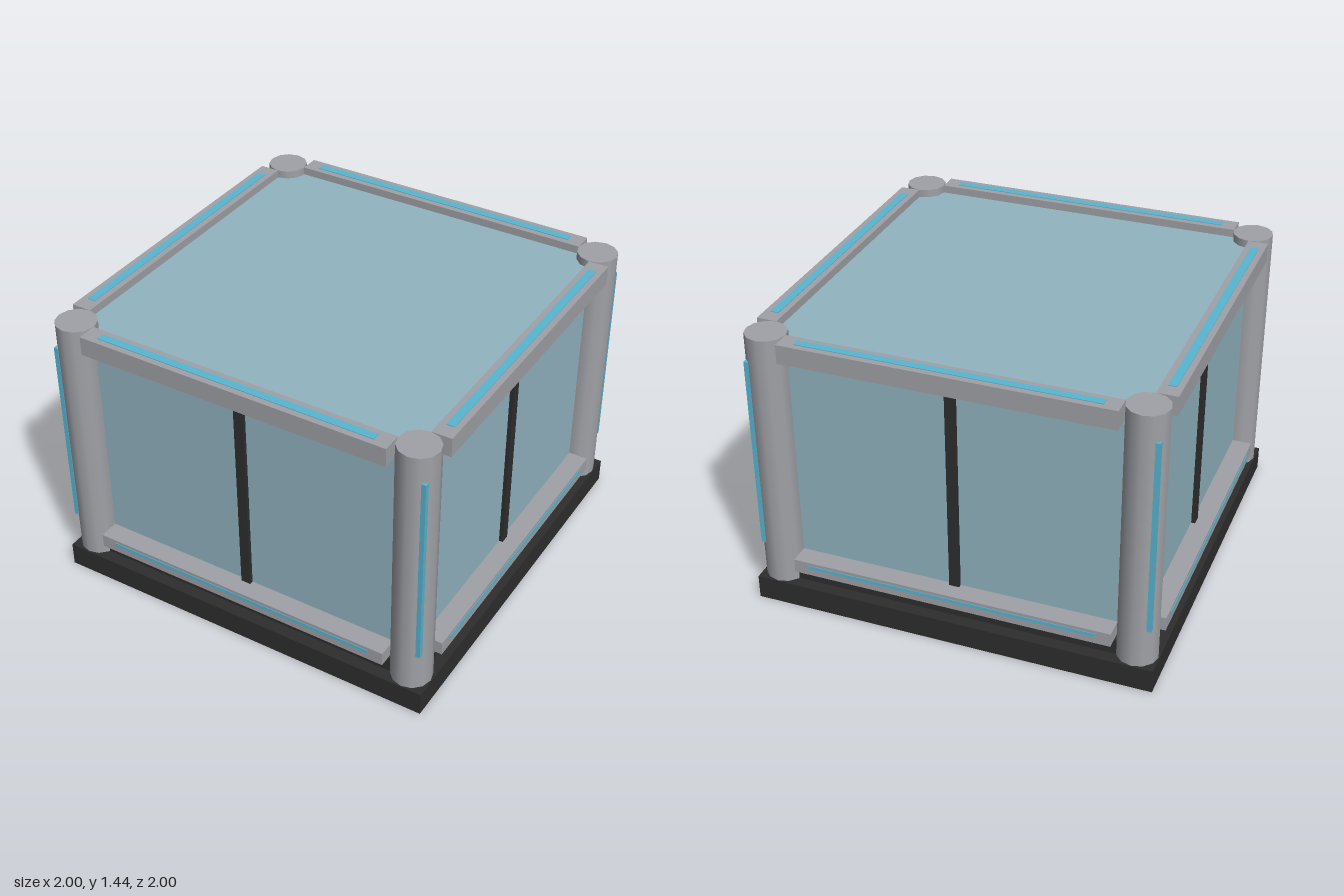
import * as THREE from 'three';

const mat = (name, color) => {
  const m = new THREE.MeshStandardMaterial({ color });
  m.name = name;
  return m;
};

export function createModel() {
  const model = new THREE.Group();
  model.name = 'glassPavilion';
  const dark = mat('charcoal', 0x2e2e2e);
  const grey = mat('steelGrey', 0xa0a2a7);
  const glass = mat('paleBlueGlass', 0x92b4c1);
  const cyan = mat('cyanLight', 0x59b5d2);

  // Box given by its size and the height of its underside
  const box = (parent, name, material, w, h, d, x, y, z) => {
    const mesh = new THREE.Mesh(new THREE.BoxGeometry(w, h, d), material);
    mesh.name = name;
    mesh.position.set(x, y + h / 2, z);
    parent.add(mesh);
  };

  // Stepped base and glazed body
  box(model, 'base', dark, 2, 0.12, 2, 0, 0, 0);
  box(model, 'baseStep', dark, 1.88, 0.08, 1.88, 0, 0.12, 0);
  box(model, 'glassBody', glass, 1.79, 1.2, 1.79, 0, 0.2, 0);

  // Four equal sides with rails, light strips and a centre mullion
  for (let i = 0; i < 4; i++) {
    const side = new THREE.Group();
    side.name = 'side' + (i + 1);
    side.rotation.y = (i * Math.PI) / 2;
    box(side, 'lowerRail', grey, 1.59, 0.07, 0.1, 0, 0.2, 0.945);
    box(side, 'upperRail', grey, 1.59, 0.095, 0.1, 0, 1.345, 0.945);
    box(side, 'mullion', dark, 0.05, 1.075, 0.03, 0, 0.27, 0.9);
    box(side, 'lowerLightStrip', cyan, 1.44, 0.018, 0.006, 0, 0.236, 0.995);
    box(side, 'upperLightStrip', cyan, 1.44, 0.006, 0.04, 0, 1.437, 0.945);
    model.add(side);
  }

  // Corner pillars with a light strip on the outer diagonal
  const pillarGeometry = new THREE.CylinderGeometry(0.1, 0.1, 1.32, 12);
  for (const sx of [-1, 1]) {
    for (const sz of [-1, 1]) {
      const pillar = new THREE.Mesh(pillarGeometry, grey);
      pillar.name = 'pillar';
      pillar.position.set(sx * 0.895, 0.78, sz * 0.895);
      model.add(pillar);
      box(model, 'pillarLightStrip', cyan, 0.023, 0.99, 0.023, sx * 0.965, 0.32, sz * 0.965);
    }
  }
  return model;
}
